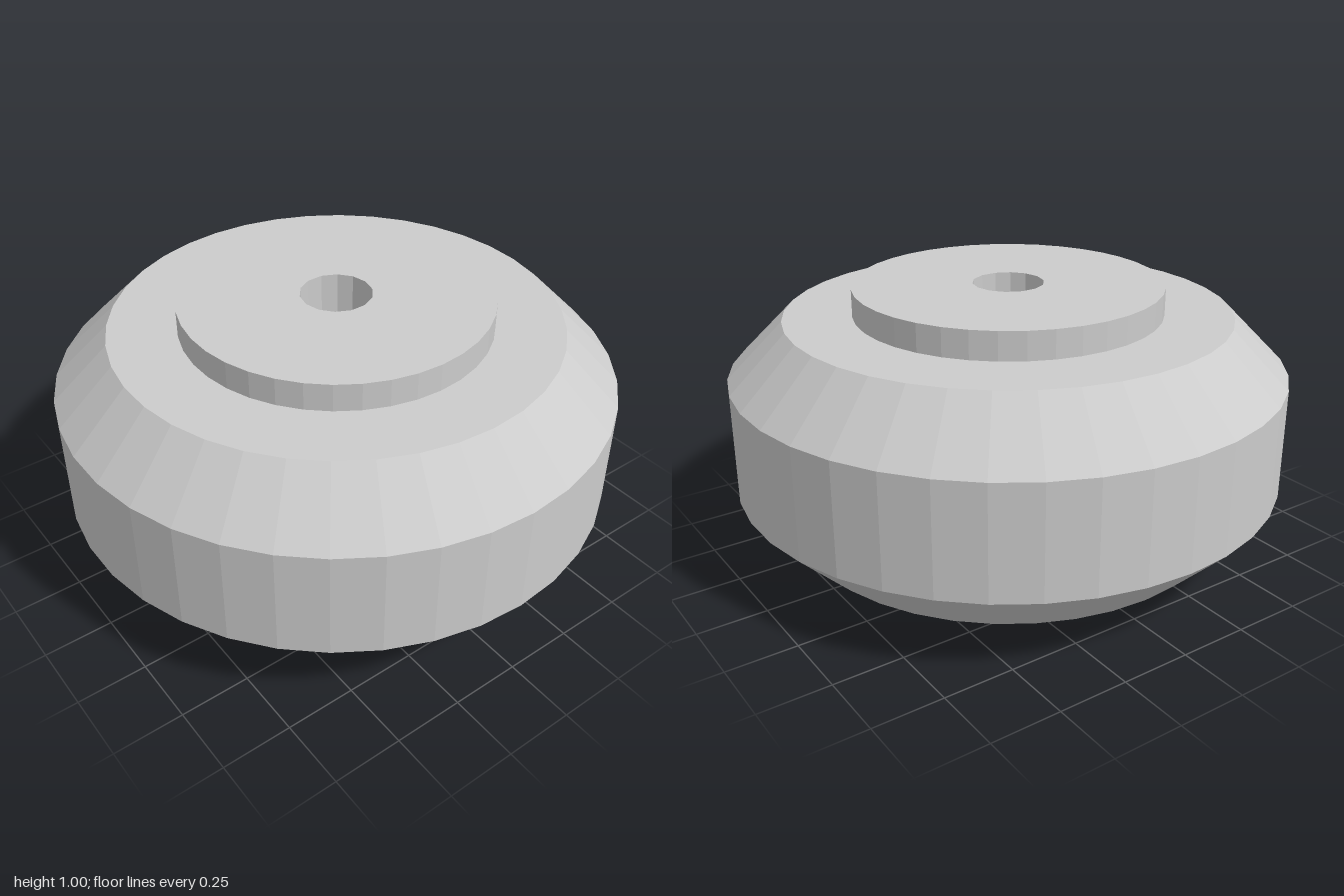
import * as THREE from 'three';

// Regular polygon outline; the first corner sits at angle `start`
function ring(radius, sides, start) {
  return Array.from({ length: sides }, (_, i) => {
    const a = start + (i / sides) * Math.PI * 2;
    return new THREE.Vector2(radius * Math.cos(a), radius * Math.sin(a));
  });
}

export function createModel() {
  const SIDES = 38, BORE_SIDES = 14;
  const HUB_RADIUS = 0.555, BORE_RADIUS = 0.128, HEIGHT = 1;
  const group = new THREE.Group();
  group.name = 'roller';
  const material = new THREE.MeshStandardMaterial({ color: 0xcccccc, flatShading: true });

  // Hub: a disc running the full height, pierced by the axle bore
  const shape = new THREE.Shape(ring(HUB_RADIUS, SIDES, 0));
  shape.holes.push(new THREE.Path(ring(BORE_RADIUS, BORE_SIDES, Math.PI / 2)));
  const hubGeometry = new THREE.ExtrudeGeometry(shape, { depth: HEIGHT, bevelEnabled: false });
  hubGeometry.rotateX(-Math.PI / 2);
  const hub = new THREE.Mesh(hubGeometry, material);
  hub.name = 'hub';
  group.add(hub);

  // Tread: wide chamfered rim around the hub
  const profile = [
    [HUB_RADIUS, 0.1], [0.8, 0.1], [1, 0.3],
    [1, 0.7], [0.8, 0.9], [HUB_RADIUS, 0.9],
  ].map(([r, y]) => new THREE.Vector2(r, y));
  const tread = new THREE.Mesh(new THREE.LatheGeometry(profile, SIDES, Math.PI / 2), material);
  tread.name = 'tread';
  group.add(tread);

  return group;
}
